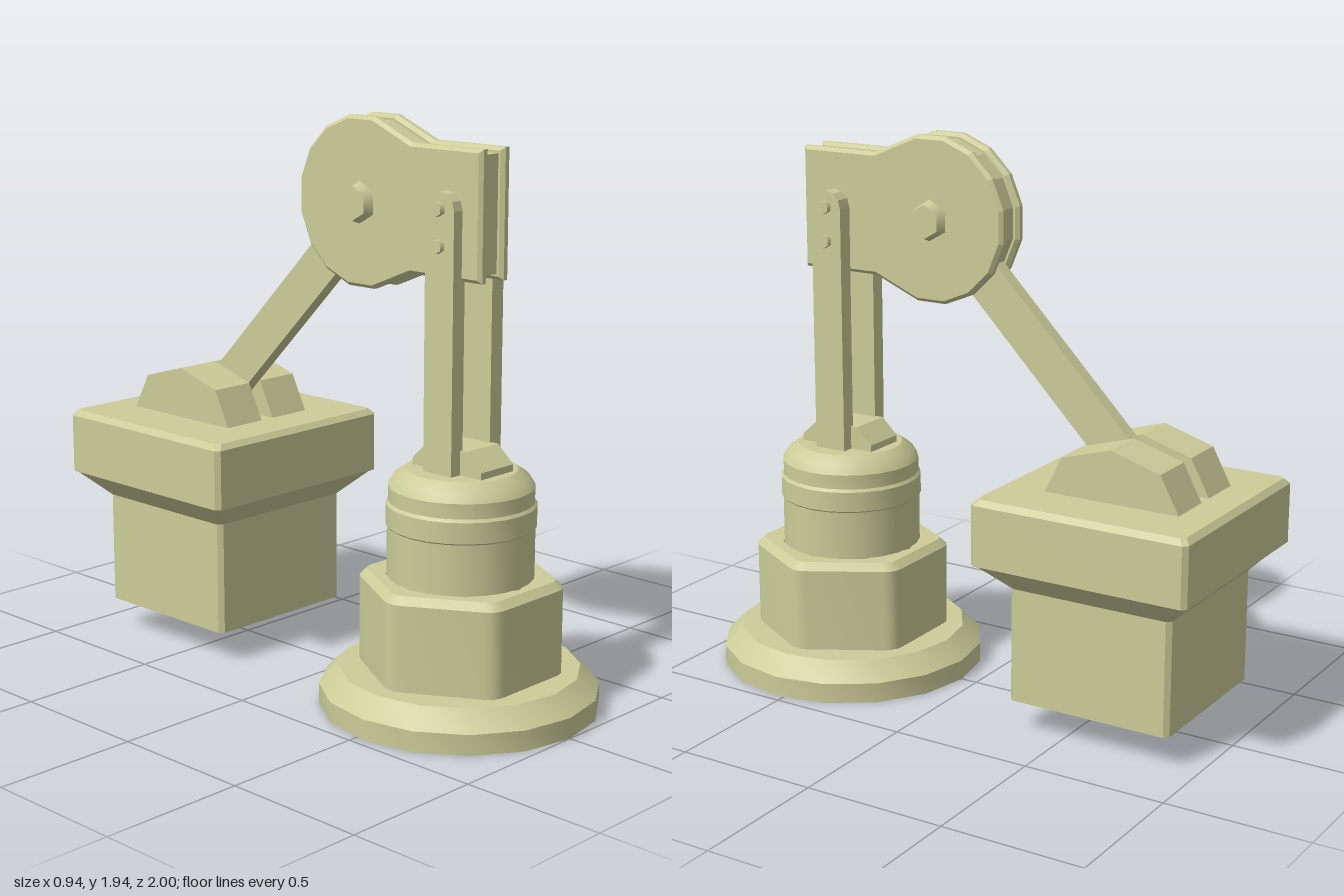
import * as THREE from 'three';
import { toCreasedNormals } from 'three/addons/utils/BufferGeometryUtils.js';

const material = new THREE.MeshStandardMaterial({ color: 0xcccc99, side: THREE.DoubleSide });
const BASE_Z = 0.53, MID_X = -0.01;      // base axis, and centre plane of the arm and weight
const PIVOT = { z: 0.145, y: 1.655 };

function add(parent, name, geometry, x = 0, y = 0, z = 0) {
  const mesh = new THREE.Mesh(geometry, material);
  mesh.name = name;
  mesh.position.set(x, y, z);
  parent.add(mesh);
  return mesh;
}

// Side profile of [z, y] points, extruded across x and centred on x = 0
function slab(points, width, bevel = 0, inset = 0) {
  const shape = new THREE.Shape(points.map(([z, y]) => new THREE.Vector2(z, y)));
  const depth = width - 2 * bevel;
  const geometry = new THREE.ExtrudeGeometry(shape, {
    depth, bevelEnabled: bevel > 0, bevelThickness: bevel, bevelSize: bevel,
    bevelOffset: -bevel - inset, bevelSegments: 1,
  });
  return geometry.translate(0, 0, -depth / 2).rotateY(-Math.PI / 2);
}

// Surface of revolution with smooth sides and sharp rims
function turned(profile, sides) {
  const points = profile.map(([r, y]) => new THREE.Vector2(r, y));
  return toCreasedNormals(new THREE.LatheGeometry(points, sides), 0.5);
}

// Hexagonal bolt lying along x, one corner up
function hexBolt(radius, length, tip = radius) {
  const head = new THREE.CylinderGeometry(tip, radius, length, 6);
  return head.rotateY(Math.PI / 6).rotateZ(-Math.PI / 2);
}

// Square shell with chamfered corners, from [half width, y] levels
function squareShell(levels, chamfer) {
  const rings = levels.map(([h, y]) => {
    const k = Math.max(h - chamfer, 0);
    return [[h, k], [k, h], [-k, h], [-h, k], [-h, -k], [-k, -h], [k, -h], [h, -k]]
      .map(([x, z]) => [x, y, z]);
  });
  const positions = [];
  for (let i = 0; i < rings.length - 1; i++) {
    for (let j = 0; j < 8; j++) {
      const n = (j + 1) % 8;
      const a = rings[i][j], b = rings[i][n], c = rings[i + 1][n], d = rings[i + 1][j];
      positions.push(...a, ...d, ...c, ...a, ...c, ...b);
    }
  }
  const geometry = new THREE.BufferGeometry();
  geometry.setAttribute('position', new THREE.Float32BufferAttribute(positions, 3));
  geometry.computeVertexNormals();
  return geometry;
}

// Hexagonal housing with slightly rounded corners and a round bore
function hexHousing() {
  const shape = new THREE.Shape();
  const corner = (i, r = 0.352) => new THREE.Vector2(Math.cos(i * Math.PI / 3), Math.sin(i * Math.PI / 3)).multiplyScalar(r);
  for (let i = 0; i < 6; i++) {
    const c = corner(i);
    const start = c.clone().lerp(corner(i - 1), 0.12), end = c.clone().lerp(corner(i + 1), 0.12);
    if (i === 0) shape.moveTo(start.x, start.y); else shape.lineTo(start.x, start.y);
    shape.quadraticCurveTo(c.x, c.y, end.x, end.y);
  }
  shape.closePath();
  const bore = new THREE.Path();
  bore.absarc(0, 0, 0.225, 0, Math.PI * 2, true);
  shape.holes.push(bore);
  const geometry = new THREE.ExtrudeGeometry(shape, {
    depth: 0.3, bevelThickness: 0.025, bevelSize: 0.025, bevelOffset: -0.025,
    bevelSegments: 1, curveSegments: 4,
  });
  return toCreasedNormals(geometry.rotateX(-Math.PI / 2), 0.5);
}

export function createModel() {
  const model = new THREE.Group();

  // Base: open flange, hexagonal housing and stepped collar
  const base = new THREE.Group();
  base.name = 'base';
  base.position.z = BASE_Z;
  model.add(base);
  add(base, 'baseFlange', turned([[0.47, 0], [0.47, 0.07], [0.405, 0.133], [0.29, 0.133]], 16));
  add(base, 'hexHousing', hexHousing(), 0, 0.125);
  add(base, 'collar', turned([
    [0.245, 0.13], [0.245, 0.62], [0.25, 0.625], [0.25, 0.695], [0.242, 0.705],
    [0.242, 0.755], [0.225, 0.785], [0.185, 0.812], [0, 0.812],
  ], 24));
  add(base, 'collarBlock', slab(
    [[-0.145, 0.8], [0.15, 0.8], [0.15, 0.835], [0.085, 0.893], [-0.085, 0.893], [-0.145, 0.835]], 0.16));

  // Two uprights with rounded tops and their bolts
  const upright = [[-0.06, 0.12], [0.06, 0.12], [0.06, 1.67]];
  for (let i = 1; i < 6; i++) {
    const a = i * Math.PI / 6;
    upright.push([0.06 * Math.cos(a), 1.67 + 0.06 * Math.sin(a)]);
  }
  upright.push([-0.06, 1.67]);
  for (const side of [-1, 1]) {
    add(base, side > 0 ? 'leftUpright' : 'rightUpright', slab(upright, 0.055), side * 0.0955);
    for (const y of [1.555, 1.673]) {
      add(base, 'uprightBolt', hexBolt(0.023, 0.05), side * 0.118, y);
    }
  }

  // Head: two chamfered cheek plates around a smaller core
  const head = new THREE.Group();
  head.name = 'head';
  head.position.x = MID_X;
  model.add(head);
  const outline = [[0.665, 1.866], [0.665, 1.443], [0.37, 1.443]];
  for (let i = 0; i < 12; i++) {
    const a = (-101.25 + i * 22.5) * Math.PI / 180;
    if (i < 10) outline.push([PIVOT.z - 0.288 * Math.cos(a), PIVOT.y + 0.288 * Math.sin(a)]);
  }
  outline.length = 3;
  for (let i = 0; i < 10; i++) {
    const a = (-78.75 - i * 22.5) * Math.PI / 180;
    outline.push([PIVOT.z + 0.288 * Math.cos(a), PIVOT.y + 0.288 * Math.sin(a)]);
  }
  outline.push([0.37, 1.866]);
  for (const side of [-1, 1]) {
    add(head, 'cheekPlate', slab(outline, 0.041, 0.012), side * 0.0525);
    const bolt = add(head, 'pivotBolt', hexBolt(0.072, 0.04, 0.058), side * 0.088, PIVOT.y, PIVOT.z);
    if (side < 0) bolt.rotation.y = Math.PI;
  }
  add(head, 'headCore', slab(outline, 0.07, 0.001, 0.02));

  // Diagonal arm from the pivot into the weight
  const end = { z: -0.71, y: 0.78 };
  const arm = add(model, 'arm', new THREE.BoxGeometry(0.053, 0.144, Math.hypot(PIVOT.z - end.z, PIVOT.y - end.y)),
    MID_X, (PIVOT.y + end.y) / 2, (PIVOT.z + end.z) / 2);
  arm.rotation.x = -Math.atan2(PIVOT.y - end.y, PIVOT.z - end.z);

  // Hanging weight: square shell open below, with a split saddle on top
  const weight = new THREE.Group();
  weight.name = 'weight';
  weight.position.set(MID_X, 0, -0.605);
  model.add(weight);
  add(weight, 'weightBody', squareShell([
    [0.297, 0.11], [0.297, 0.507], [0.38, 0.59], [0.394, 0.597], [0.394, 0.805], [0.376, 0.824], [0, 0.824],
  ], 0.016));
  const saddle = [[-0.265, 0.82], [0.23, 0.82], [0.165, 0.95], [-0.015, 1.003], [-0.195, 0.95]];
  for (const side of [-1, 1]) {
    add(weight, 'saddleHalf', slab(saddle, 0.163), side * 0.1085);
  }

  return model;
}
